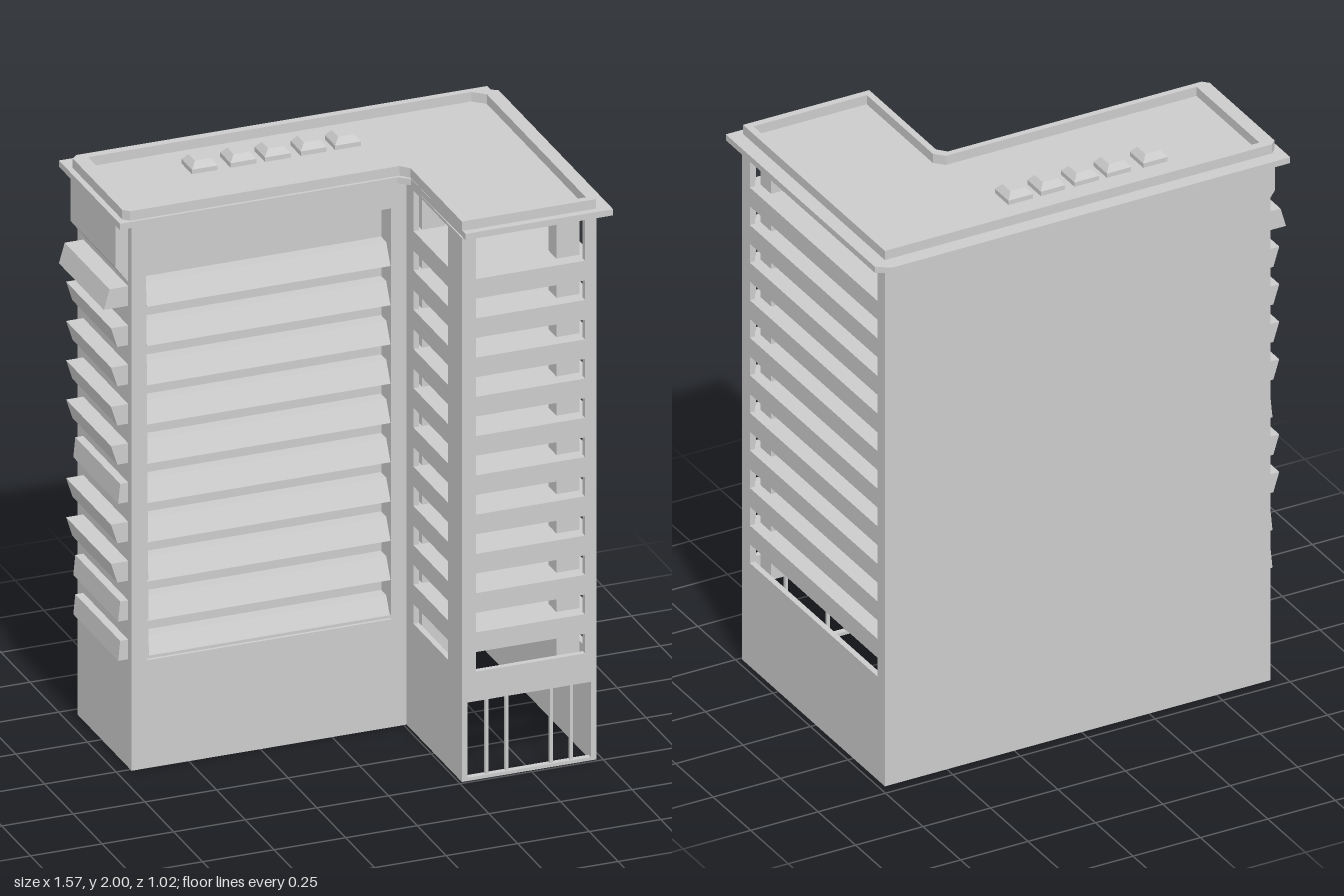
import * as THREE from 'three';

const mat = new THREE.MeshStandardMaterial({ color: 0xcccccc, flatShading: true, side: THREE.DoubleSide });
const LEVELS = 10, PITCH = 0.14, SILL = 0.385, BAND = 0.07;

const pathOf = (pts, T = THREE.Shape) => new T(pts.map(([a, b]) => new THREE.Vector2(a, b)));
const rect = (a0, a1, b0, b1) => [[a0, b0], [a1, b0], [a1, b1], [a0, b1]];

export function createModel() {
  const model = new THREE.Group();

  const add = (name, geo, parent = model) => {
    const mesh = new THREE.Mesh(geo, mat);
    mesh.name = name;
    parent.add(mesh);
    return mesh;
  };
  const box = (name, x0, x1, y0, y1, z0, z1) => {
    const m = add(name, new THREE.BoxGeometry(x1 - x0, y1 - y0, z1 - z0));
    m.position.set((x0 + x1) / 2, (y0 + y1) / 2, (z0 + z1) / 2);
    return m;
  };
  const extrude = (pts, holes, depth) => {
    const shape = pathOf(pts);
    shape.holes = holes.map(h => pathOf(h, THREE.Path));
    return new THREE.ExtrudeGeometry(shape, { depth, bevelEnabled: false });
  };
  // Horizontal plate from an (x, z) outline
  const plate = (name, outline, y, thick, holes = []) => {
    const flip = pts => pts.map(([x, z]) => [x, -z]);
    const g = extrude(flip(outline), holes.map(flip), thick);
    g.rotateX(-Math.PI / 2).translate(0, y, 0);
    return add(name, g);
  };
  // Upright wall with its outer face turned by angle
  const wall = (name, u0, u1, holes, angle, x, z, thick = 0.02) => {
    const g = extrude(rect(u0, u1, 0, 1.94), holes, thick);
    g.translate(0, 0, -thick);
    const m = add(name, g);
    m.rotation.y = angle;
    m.position.set(x, 0, z);
    return m;
  };
  // Ribbon windows on every storey, plus the taller top one
  const ribbons = (u0, u1, top = true) => {
    const out = [];
    for (let k = 0; k < LEVELS; k++) {
      const y = SILL + k * PITCH;
      out.push(rect(u0, u1, y, y + BAND));
    }
    if (top) out.push(rect(u0, u1, 1.785, 1.93));
    return out;
  };
  const H = Math.PI / 2;

  // Outer walls
  wall('backWall', -0.73, 0.70, [], Math.PI, 0, -0.46);
  wall('rightEndWall', -0.49, 0.46, ribbons(-0.44, 0.41), H, 0.73, 0);
  wall('leftEndWall', -0.46, 0.01, ribbons(-0.41, -0.02, false), -H, -0.70, 0);
  wall('wingInnerWall', 0.01, 0.49, ribbons(0.07, 0.37), -H, 0.26, 0);
  wall('wingFrontWall', 0.26, 0.73,
    [...ribbons(0.31, 0.69), rect(0.28, 0.715, 0.012, 0.28)], 0, 0, 0.49);
  wall('mainFrontWall', -0.70, 0.26,
    [[[-0.64, 0.40], [0.205, 0.40], [0.205, 1.85], [-0.65, 1.85]]], 0, 0, 0.01, 0.03);

  // Recessed wall behind the front sunshades
  box('recessWall', -0.69, 0.26, 0.36, 1.92, -0.09, -0.07);
  box('recessSideLeft', -0.69, -0.65, 0.36, 1.92, -0.07, -0.02);
  box('recessSideRight', 0.205, 0.26, 0.36, 1.92, -0.07, -0.02);
  box('recessHead', -0.69, 0.26, 1.85, 1.92, -0.07, -0.02);
  box('recessSill', -0.69, 0.26, 0.36, 0.40, -0.07, -0.02);

  // Floors
  const floor = [[-0.69, -0.45], [0.72, -0.45], [0.72, 0.48], [0.27, 0.48], [0.27, -0.08], [-0.69, -0.08]];
  for (let k = 0; k < LEVELS; k++) plate('floor', floor, SILL + BAND + k * PITCH, PITCH - BAND);

  // Corner columns behind the ribbon windows
  box('cornerColumn', 0.61, 0.69, 0.36, 1.94, 0.37, 0.44);
  box('innerColumn', 0.29, 0.37, 0.36, 1.94, 0.0, 0.07);

  // Sloped sunshades on the front of the long wing
  for (let k = 0; k < LEVELS; k++) {
    const y = SILL + k * PITCH + 0.001;
    const g = extrude([[-0.08, y], [0.012, y], [-0.025, y + BAND], [-0.08, y + BAND]], [], 0.85);
    g.rotateY(-H).translate(0.203, 0, 0);
    add('frontSunshade', g);
  }

  // End sunshades, tilted by varying amounts: [bottom reach, top reach]
  const far = [-0.738, -0.76], near = [-0.735, -0.728];
  [near, near, far, far, near, far, far, far, far, [-0.785, -0.765]].forEach(([b, t], k) => {
    const y = SILL + k * PITCH;
    const g = extrude([[-0.69, y], [b, y], [t, y + BAND], [-0.69, y + BAND]], [], 0.39);
    add('endSunshade', g.translate(0, 0, -0.41));
  });
  add('endTopPanel', extrude([[-0.70, 1.73], [-0.745, 1.79], [-0.745, 1.94], [-0.70, 1.94]], [], 0.39)
    .translate(0, 0, -0.41));

  // Entrance mullions
  for (const x of [0.35, 0.42, 0.575, 0.645]) box('entranceMullion', x - 0.005, x + 0.005, 0.01, 0.28, 0.472, 0.484);

  // Overhanging roof edge, deck and parapet
  plate('roofSlab', [[-0.745, -0.51], [0.73, -0.515], [0.78, -0.485], [0.78, 0.51], [0.265, 0.51],
    [0.26, 0.05], [0.225, 0.02], [-0.745, 0.02]], 1.94, 0.022);
  plate('parapet', [[-0.725, -0.44], [-0.705, -0.46], [0.73, -0.46], [0.73, 0.485], [0.262, 0.485],
    [0.262, 0.04], [0.235, 0.01], [-0.705, 0.01], [-0.725, -0.01]], 1.962, 0.034,
  [[[-0.675, -0.43], [0.665, -0.436], [0.705, -0.40], [0.705, 0.46], [0.285, 0.46],
    [0.285, 0.02], [0.255, -0.012], [-0.675, -0.012]]]);

  // Rooftop skylights: square base with a tapered cap
  for (const x of [-0.34, -0.205, -0.085, 0.04, 0.16]) {
    const light = new THREE.Group();
    light.name = 'skylight';
    add('skylightBase', new THREE.BoxGeometry(0.09, 0.016, 0.09), light).position.y = 0.008;
    const cap = new THREE.CylinderGeometry(0.055 / Math.SQRT2, 0.09 / Math.SQRT2, 0.022, 4);
    add('skylightCap', cap.rotateY(Math.PI / 4), light).position.y = 0.027;
    light.position.set(x, 1.962, -0.295);
    model.add(light);
  }
  return model;
}
